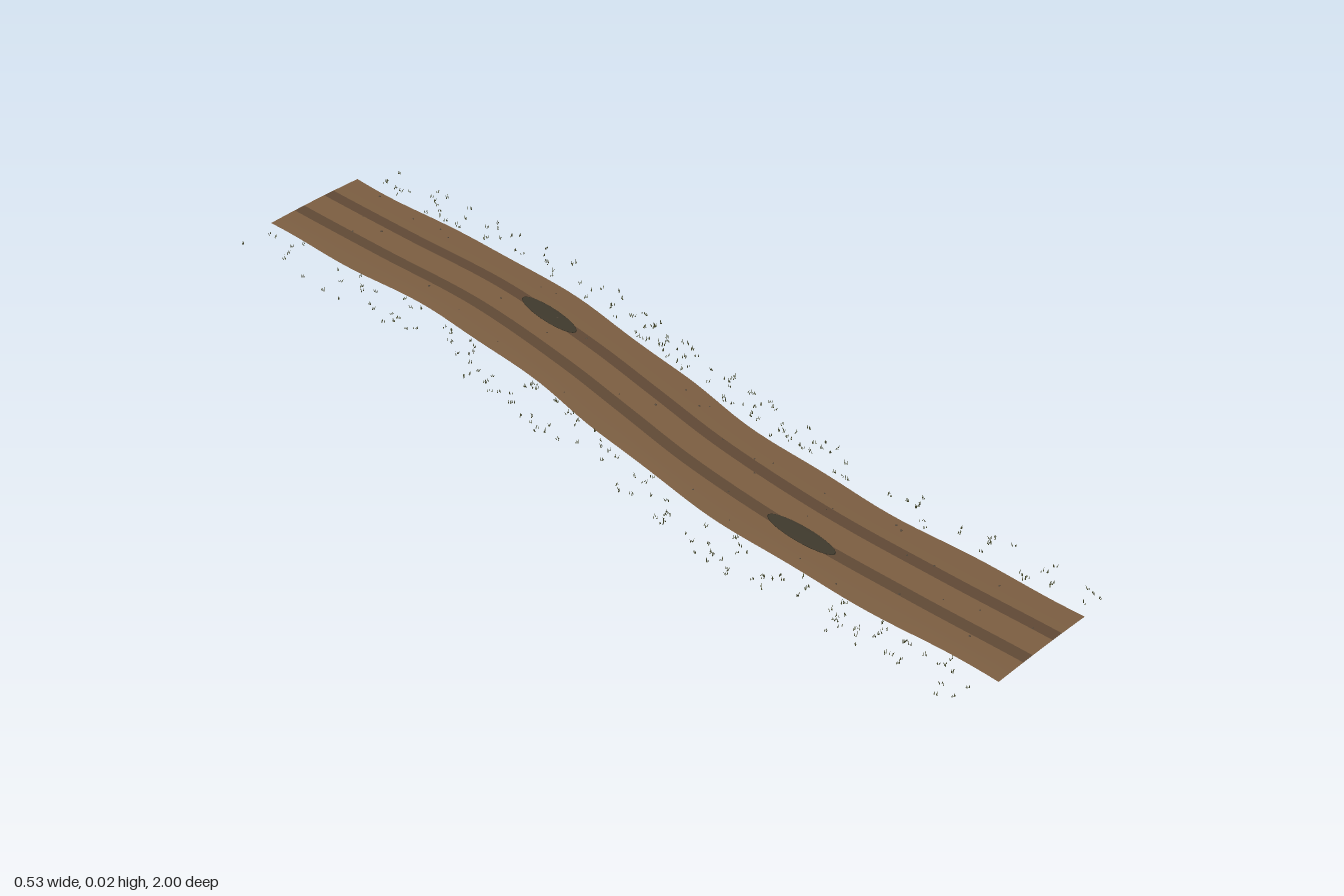
import * as THREE from 'three';
import { mergeGeometries } from 'three/addons/utils/BufferGeometryUtils.js';

const HALF = 0.121, RUT = 0.041, RUT_HALF = 0.013;

// centre line of the winding path, x as a function of z
const line = new THREE.CatmullRomCurve3([
  [0.028, -1.2], [0.029, -1], [0.036, -0.75], [0.046, -0.48], [0.022, -0.2], [-0.008, 0],
  [-0.038, 0.2], [-0.056, 0.48], [-0.051, 0.75], [-0.04, 1], [-0.035, 1.2],
].map(([x, z]) => new THREE.Vector3(x, 0, z)));
const samples = line.getPoints(400);
function centre(z) {
  let i = 1;
  while (i < samples.length - 1 && samples[i].z < z) i++;
  const a = samples[i - 1], b = samples[i];
  return a.x + (b.x - a.x) * (z - a.z) / (b.z - a.z);
}

// gentle crown across the path
const height = (d) => 0.0125 - 0.002 * (d / HALF) ** 2;

let seed = 7;
const rand = (a, b) => {
  seed = (seed * 16807) % 2147483647;
  return a + (b - a) * seed / 2147483647;
};

const mat = (color, flatShading = false) =>
  new THREE.MeshStandardMaterial({ color, flatShading, roughness: 1, side: THREE.DoubleSide });

// lengthwise strip of the path between two sideways offsets
function strip(d0, d1) {
  const g = new THREE.PlaneGeometry(1, 2, 4, 64).rotateX(-Math.PI / 2);
  const p = g.attributes.position;
  for (let i = 0; i < p.count; i++) {
    const z = p.getZ(i);
    let d = d0 + (d1 - d0) * (p.getX(i) + 0.5);
    const y = height(d);
    if (Math.abs(d) > HALF - 0.001) d += 0.003 * Math.sin(z * 17 + d * 9); // uneven verge
    p.setXYZ(i, centre(z) + d, y, z);
  }
  g.computeVertexNormals();
  return g;
}

export function createModel() {
  const group = new THREE.Group();
  const add = (name, geometry, material) => {
    const mesh = new THREE.Mesh(geometry, material);
    mesh.name = name;
    group.add(mesh);
    return mesh;
  };

  // packed earth between and beside the wheel ruts
  const a = RUT - RUT_HALF, b = RUT + RUT_HALF;
  add('dirtPath', mergeGeometries([strip(-HALF, -b), strip(-a, a), strip(b, HALF)]), mat(0x7d5f42));
  add('wheelRuts', mergeGeometries([strip(-b, -a), strip(a, b)]), mat(0x614a36));

  // puddles: shallow bowls with a flat water surface, lying in the ruts
  const bowl = [[0, -0.01], [0.4, -0.009], [0.75, -0.005], [1, -0.0005], [0.97, 0], [0, 0]]
    .map(([r, y]) => new THREE.Vector2(r, y));
  for (const [side, z] of [[1, -0.34], [-1, 0.49]]) {
    const puddle = add('puddle', new THREE.LatheGeometry(bowl, 24).scale(0.021, 1, 0.083), mat(0x403a2d));
    puddle.position.set(centre(z) + side * RUT - (side < 0 ? 0 : 0.002), 0.0134, z);
    puddle.rotation.y = Math.atan((centre(z + 0.08) - centre(z - 0.08)) / 0.16);
  }

  // grass tufts on both verges, sinking as the bank falls away
  const blades = [];
  for (const side of [-1, 1]) {
    for (let i = 0; i < 150; i++) {
      const z = rand(-0.99, 0.99), out = rand(0.128, 0.212);
      const y = 0.0115 - (out - 0.128) * 0.122;
      for (let k = 0; k < 3; k++) {
        const h = rand(0.005, 0.01);
        blades.push(new THREE.ConeGeometry(0.0012, h, 3)
          .translate(0, h / 2, 0)
          .rotateZ(rand(-0.5, 0.5)).rotateY(rand(0, 6.28))
          .translate(centre(z) + side * out + rand(-0.004, 0.004), y, z + rand(-0.004, 0.004)));
      }
    }
  }
  add('grassTufts', mergeGeometries(blades), mat(0x46482a, true));

  // small stones scattered over the path
  const stones = [];
  for (let i = 0; i < 45; i++) {
    const z = rand(-0.97, 0.97), d = rand(-0.11, 0.11);
    stones.push(new THREE.IcosahedronGeometry(rand(0.0012, 0.0028), 0)
      .scale(1, 0.6, 1).rotateY(rand(0, 6.28))
      .translate(centre(z) + d, height(d) + 0.0006, z));
  }
  add('pebbles', mergeGeometries(stones), mat(0x55493c, true));

  return group;
}
